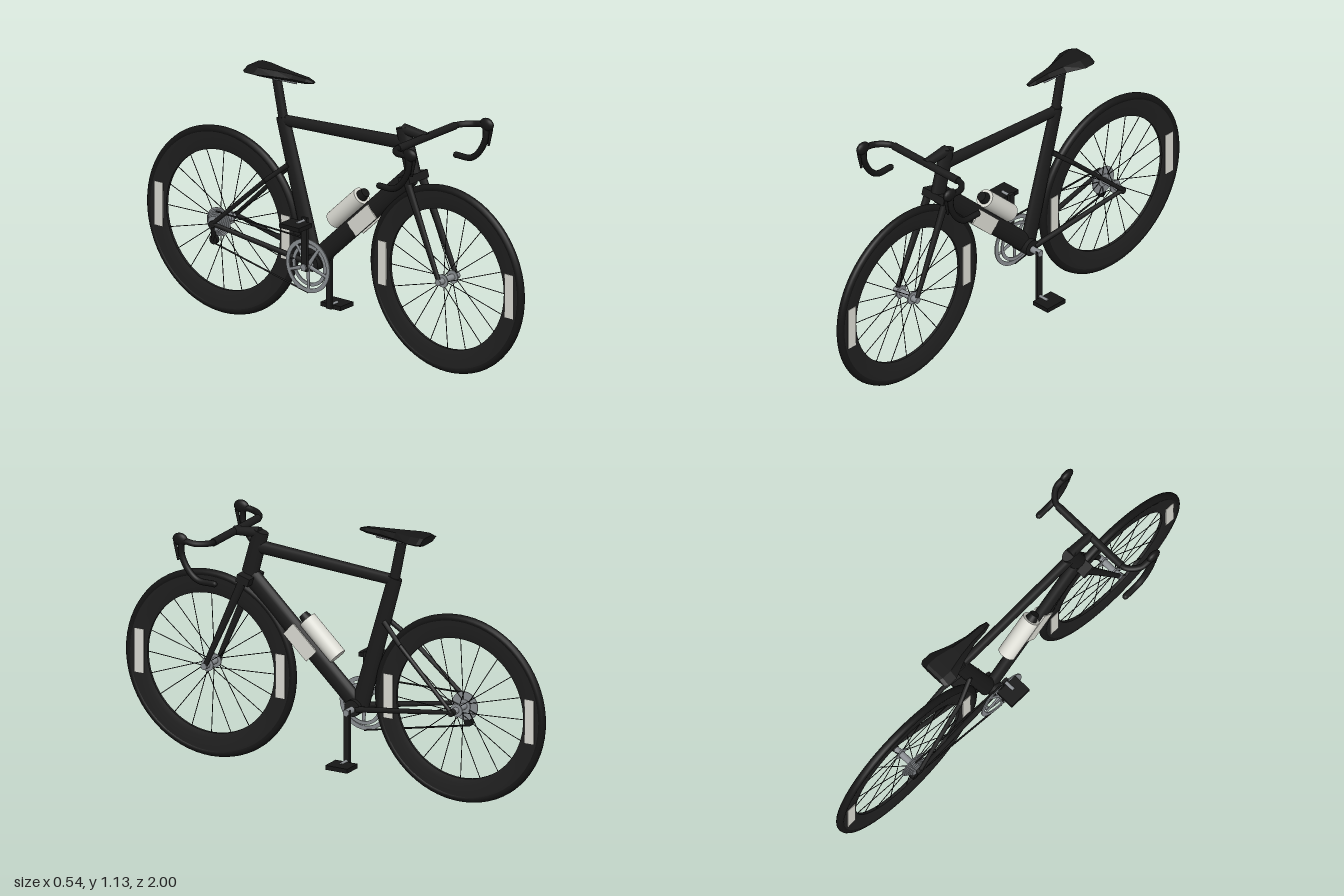
import * as THREE from 'three';
import { toCreasedNormals } from 'three/addons/utils/BufferGeometryUtils.js';

const mat = (name, color, side = THREE.FrontSide) => {
  const m = new THREE.MeshStandardMaterial({ color, side });
  m.name = name;
  return m;
};
const V = (x, y, z) => new THREE.Vector3(x, y, z);

export function createModel() {
  const frame = mat('frame black', 0x1c1c1c);
  const rubber = mat('rubber black', 0x161616);
  const carbon = mat('rim carbon', 0x202020);
  const metal = mat('grey metal', 0x8c9094);
  const pale = mat('pale panel', 0xdcdcd4);

  const bike = new THREE.Group();
  bike.name = 'roadBicycle';

  function add(name, geo, material, pos = [0, 0, 0], parent = bike) {
    const m = new THREE.Mesh(geo, material);
    m.name = name;
    m.position.set(...pos);
    parent.add(m);
    return m;
  }
  // tapered strut from a to b; flat is its sideways thickness relative to its depth
  function strut(name, a, b, ra, rb, material, flat = 1, sides = 16, parent = bike) {
    const d = b.clone().sub(a);
    const geo = new THREE.CylinderGeometry(rb, ra, d.length(), sides);
    geo.scale(flat, 1, 1);
    const m = add(name, geo, material, a.clone().add(b).multiplyScalar(0.5).toArray(), parent);
    m.quaternion.setFromUnitVectors(V(0, 1, 0), d.normalize());
    return m;
  }
  // cylinder lying across the bicycle
  function axle(name, x0, x1, y, z, r, material, sides = 20, parent = bike) {
    return strut(name, V(x0, y, z), V(x1, y, z), r, r, material, 1, sides, parent);
  }

  // wheels: tyre, deep rim, hub, spokes and side panels
  function wheel(name, z) {
    const g = new THREE.Group();
    g.name = name;
    g.position.set(0, 0.408, z);
    bike.add(g);
    add('tyre', new THREE.TorusGeometry(0.389, 0.017, 12, 72).rotateY(Math.PI / 2), rubber, [0, 0, 0], g);
    const profile = [[0.303, -0.006], [0.325, -0.013], [0.383, -0.0145], [0.383, 0.0145],
      [0.325, 0.013], [0.303, 0.006], [0.303, -0.006]].map(p => new THREE.Vector2(...p));
    const rim = new THREE.LatheGeometry(profile, 72).rotateZ(Math.PI / 2);
    add('rim', toCreasedNormals(rim, 0.5), carbon, [0, 0, 0], g);
    axle('hub', -0.062, 0.062, 0, 0, 0.014, metal, 20, g);
    for (const s of [-1, 1]) {
      axle('hubFlange', s * 0.03, s * 0.036, 0, 0, 0.028, metal, 24, g);
      for (const dz of [-0.337, 0.337])
        add('rimPanel', new THREE.BoxGeometry(0.004, 0.19, 0.044), pale, [s * 0.0135, 0, dz], g);
    }
    for (let i = 0; i < 20; i++) {
      const a = i * Math.PI / 10, b = a + (i % 4 < 2 ? 0.25 : -0.25);
      strut('spoke', V(i % 2 ? 0.033 : -0.033, Math.cos(b) * 0.025, Math.sin(b) * 0.025),
        V(0, Math.cos(a) * 0.31, Math.sin(a) * 0.31), 0.0018, 0.0018, rubber, 1, 5, g);
    }
  }
  wheel('frontWheel', 0.595);
  wheel('rearWheel', -0.595);

  // main frame
  strut('headTube', V(0, 0.83, 0.41), V(0, 1.02, 0.358), 0.038, 0.036, frame, 0.65);
  strut('downTube', V(0, 0.815, 0.4), V(0, 0.345, -0.1), 0.042, 0.04, frame, 0.6);
  strut('topTube', V(0, 0.952, 0.37), V(0, 0.912, -0.285), 0.029, 0.024, frame, 0.75);
  strut('seatTube', V(0, 0.335, -0.115), V(0, 0.925, -0.283), 0.04, 0.033, frame, 0.6);
  strut('seatPost', V(0, 0.9, -0.276), V(0, 1.1, -0.318), 0.023, 0.022, frame, 0.75);
  axle('bottomBracket', -0.042, 0.042, 0.335, -0.1, 0.036, frame);
  for (const s of [-1, 1]) {
    strut('seatStay', V(s * 0.018, 0.73, -0.24), V(s * 0.05, 0.65, -0.335), 0.011, 0.01, frame, 1, 10);
    strut('seatStayLower', V(s * 0.05, 0.65, -0.335), V(s * 0.077, 0.41, -0.595), 0.01, 0.009, frame, 1, 10);
    strut('chainStay', V(s * 0.036, 0.333, -0.12), V(s * 0.077, 0.41, -0.595), 0.013, 0.009, frame, 1, 10);
    axle('dropout', s * 0.06, s * 0.084, 0.408, -0.595, 0.015, frame, 12);
    // fork
    strut('forkLeg', V(s * 0.048, 0.82, 0.412), V(s * 0.057, 0.405, 0.595), 0.02, 0.011, frame, 0.75, 12);
    axle('forkEnd', s * 0.05, s * 0.066, 0.408, 0.595, 0.014, metal, 12);
  }
  add('forkCrown', new THREE.BoxGeometry(0.125, 0.034, 0.06), frame, [0, 0.812, 0.412]).rotation.x = -0.28;

  // down tube side panels and bottle
  const slope = Math.atan2(0.5, 0.47);
  for (const s of [-1, 1])
    add('tubePanel', new THREE.BoxGeometry(0.006, 0.15, 0.07), pale, [s * 0.0245, 0.575, 0.158]).rotation.x = slope;
  const bottle = new THREE.Group();
  bottle.name = 'bottle';
  bottle.position.set(0, 0.603, 0.064);
  bottle.rotation.x = slope;
  bike.add(bottle);
  add('bottleBody', new THREE.CylinderGeometry(0.039, 0.039, 0.2, 28), pale, [0, 0, 0], bottle);
  add('bottleCap', new THREE.CylinderGeometry(0.02, 0.026, 0.03, 20), rubber, [0, 0.113, 0], bottle);
  add('bottleCage', new THREE.BoxGeometry(0.02, 0.17, 0.012), frame, [0, -0.01, 0.038], bottle);

  // handlebar, drops, hoods and levers
  strut('stem', V(0, 1.013, 0.362), V(0, 1.003, 0.485), 0.023, 0.019, frame);
  axle('handlebar', -0.185, 0.185, 1.002, 0.48, 0.0165, frame);
  for (const s of [-1, 1]) {
    const path = new THREE.CatmullRomCurve3([[0.17, 1.002, 0.48], [0.205, 1.003, 0.485], [0.247, 1.006, 0.53],
      [0.252, 1.008, 0.585], [0.252, 0.96, 0.592], [0.252, 0.895, 0.563], [0.252, 0.853, 0.515],
      [0.252, 0.848, 0.435]].map(([x, y, z]) => V(s * x, y, z)), false, 'centripetal');
    add('dropBar', new THREE.TubeGeometry(path, 48, 0.0135, 10), rubber);
    add('barEnd', new THREE.SphereGeometry(0.0135, 10, 8), rubber, [s * 0.252, 0.848, 0.435]);
    add('hood', new THREE.SphereGeometry(1, 16, 12).scale(0.017, 0.028, 0.035), rubber, [s * 0.252, 1.016, 0.598]);
    strut('brakeLever', V(s * 0.252, 1.0, 0.622), V(s * 0.252, 0.925, 0.607), 0.008, 0.005, rubber, 1, 8);
  }

  // saddle lofted from hexagonal sections: z, half width, mid height, half thickness
  const stations = [[-0.44, 0.068, 1.112, 0.015], [-0.425, 0.078, 1.111, 0.019], [-0.38, 0.078, 1.111, 0.019],
    [-0.3, 0.046, 1.111, 0.018], [-0.22, 0.025, 1.111, 0.016], [-0.15, 0.019, 1.111, 0.012], [-0.118, 0.01, 1.11, 0.005]];
  const rings = stations.map(([z, w, y, h]) => [[1, -0.1], [0.55, 1], [-0.55, 1], [-1, -0.1], [-0.5, -1], [0.5, -1]]
    .map(([u, v]) => V(u * w, y + v * h, z)));
  const tri = [];
  for (let k = 0; k < rings.length - 1; k++)
    for (let i = 0; i < 6; i++) {
      const j = (i + 1) % 6, p = rings[k], q = rings[k + 1];
      tri.push(p[i], p[j], q[j], p[i], q[j], q[i]);
    }
  const last = rings[rings.length - 1];
  for (let i = 1; i < 5; i++) tri.push(rings[0][0], rings[0][i + 1], rings[0][i], last[0], last[i], last[i + 1]);
  const saddle = new THREE.BufferGeometry().setFromPoints(tri);
  saddle.computeVertexNormals();
  add('saddle', saddle, rubber);
  for (const s of [-1, 1])
    strut('saddleRail', V(s * 0.022, 1.088, -0.4), V(s * 0.012, 1.092, -0.2), 0.004, 0.004, metal, 1, 8);

  // chainrings with spider arms
  function chainring(name, x, outer, inner) {
    const shape = new THREE.Shape().absarc(0, 0, outer, 0, Math.PI * 2);
    shape.holes.push(new THREE.Path().absarc(0, 0, inner, 0, Math.PI * 2, true));
    const geo = new THREE.ExtrudeGeometry(shape, { depth: 0.005, bevelEnabled: false, curveSegments: 40 });
    add(name, geo.rotateY(Math.PI / 2), metal, [x, 0.33, -0.1]);
  }
  chainring('outerChainring', -0.063, 0.116, 0.098);
  chainring('innerChainring', -0.053, 0.09, 0.075);
  for (let i = 0; i < 5; i++) {
    const a = i * Math.PI * 0.4 + 0.6;
    strut('spiderArm', V(-0.06, 0.33, -0.1),
      V(-0.06, 0.33 + Math.cos(a) * 0.1, -0.1 + Math.sin(a) * 0.1), 0.011, 0.007, metal, 0.5, 8);
  }

  // cranks and pedals, left one down and right one up
  axle('crankAxle', -0.092, 0.092, 0.33, -0.1, 0.014, metal);
  for (const s of [-1, 1]) {
    const py = s > 0 ? 0.11 : 0.525;
    add('crankArm', new THREE.BoxGeometry(0.013, 0.235, 0.028), frame, [s * 0.081, s > 0 ? 0.222 : 0.43, -0.1]);
    axle('pedalAxle', s * 0.08, s * 0.132, py + 0.008, -0.1, 0.008, metal, 12);
    add('pedal', new THREE.BoxGeometry(0.085, 0.019, 0.105), rubber, [s * 0.136, py, -0.105]);
  }

  // cassette, derailleur and chain
  for (let i = 0; i < 6; i++)
    axle('sprocket', -0.034 - i * 0.006, -0.038 - i * 0.006, 0.408, -0.595, 0.062 - i * 0.006, metal, 28);
  strut('derailleurArm', V(-0.07, 0.4, -0.597), V(-0.056, 0.325, -0.605), 0.011, 0.011, rubber, 0.7, 8);
  axle('derailleurWheel', -0.064, -0.046, 0.335, -0.603, 0.02, rubber, 16);
  strut('upperChain', V(-0.06, 0.446, -0.1), V(-0.052, 0.458, -0.595), 0.004, 0.004, rubber, 1, 6);
  strut('lowerChain', V(-0.06, 0.213, -0.1), V(-0.055, 0.318, -0.6), 0.004, 0.004, rubber, 1, 6);

  return bike;
}
